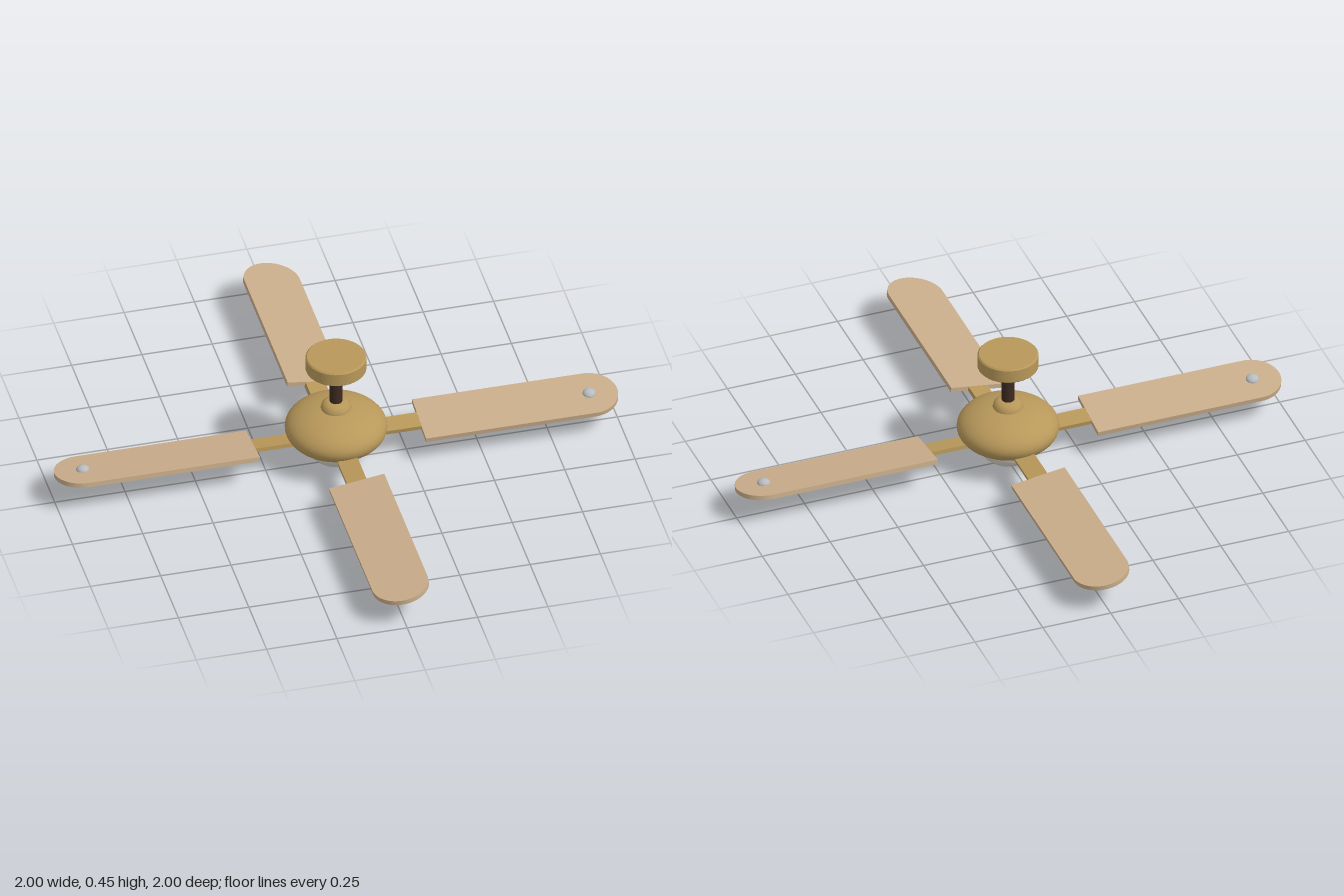
import * as THREE from 'three';

const mat = (name, color) => {
  const m = new THREE.MeshStandardMaterial({ color });
  m.name = name;
  return m;
};

export function createModel() {
  const brass = mat('brass', 0xb8985a);
  const bronze = mat('dark bronze', 0x3d2b20);
  const wood = mat('pale wood', 0xc9ad8a);
  const glass = mat('frosted glass', 0xd9d2ca);
  const steel = mat('steel', 0xb9bcbf);

  const fan = new THREE.Group();
  fan.name = 'ceilingFan';
  const add = (parent, name, geometry, material, x = 0, y = 0, z = 0) => {
    const mesh = new THREE.Mesh(geometry, material);
    mesh.name = name;
    mesh.position.set(x, y, z);
    parent.add(mesh);
    return mesh;
  };
  const lathe = (pts) =>
    new THREE.LatheGeometry(pts.map(([r, y]) => new THREE.Vector2(r, y)), 48);

  // Ceiling canopy: short drum with softened rims (doubled points keep its faces flat)
  add(fan, 'canopy', lathe([
    [0, 0.39], [0.1, 0.39], [0.1, 0.39], [0.105, 0.395], [0.105, 0.395],
    [0.105, 0.441], [0.105, 0.441], [0.1, 0.446], [0.1, 0.446], [0, 0.446],
  ]), brass);

  // Down rod and the domed collar at its foot
  add(fan, 'downRod', new THREE.CylinderGeometry(0.022, 0.022, 0.18, 24), bronze, 0, 0.31, 0);
  add(fan, 'collar', lathe([
    [0.054, 0.21], [0.053, 0.226], [0.05, 0.238], [0.042, 0.248], [0.03, 0.254], [0, 0.255],
  ]), brass);

  // Motor housing: flattened ball
  add(fan, 'motorHousing', new THREE.SphereGeometry(0.177, 48, 32), brass, 0, 0.145, 0)
    .scale.y = 0.085 / 0.177;

  // Lamp bowl hanging below the motor
  add(fan, 'lampBowl',
    new THREE.SphereGeometry(0.107, 48, 16, 0, Math.PI * 2, Math.PI / 2, Math.PI / 2),
    glass, 0, 0.083, 0).scale.y = 0.083 / 0.107;

  // Blade outline: square root, round tip
  const thickness = 0.017;
  const outline = new THREE.Shape();
  outline.moveTo(0.295, -0.099);
  outline.lineTo(0.9, -0.099);
  outline.absellipse(0.9, 0, 0.1, 0.099, -Math.PI / 2, Math.PI / 2, false);
  outline.lineTo(0.295, 0.099);
  outline.closePath();
  const bladeGeometry = new THREE.ExtrudeGeometry(outline, {
    depth: thickness, bevelEnabled: false, curveSegments: 24,
  });
  bladeGeometry.translate(0, 0, -thickness / 2).rotateX(-Math.PI / 2);
  const armGeometry = new THREE.BoxGeometry(0.18, 0.015, 0.07);
  const screwGeometry = new THREE.SphereGeometry(0.023, 24, 12);

  // Four pitched blades around the motor
  for (let i = 0; i < 4; i++) {
    const spoke = new THREE.Group();
    spoke.name = 'bladeAssembly' + (i + 1);
    spoke.position.y = 0.113;
    spoke.rotation.y = i * Math.PI / 2;
    fan.add(spoke);

    const pitched = new THREE.Group();
    pitched.name = 'pitchedBlade';
    pitched.rotation.x = 0.14;
    spoke.add(pitched);
    add(pitched, 'bladeArm', armGeometry, brass, 0.22, 0, 0);
    add(pitched, 'blade', bladeGeometry, wood);

    // Only the two side blades carry a screw head
    if (i % 2 === 0) {
      add(pitched, 'screwHead', screwGeometry, steel, 0.9, thickness / 2, 0).scale.y = 0.7;
    }
  }
  return fan;
}
